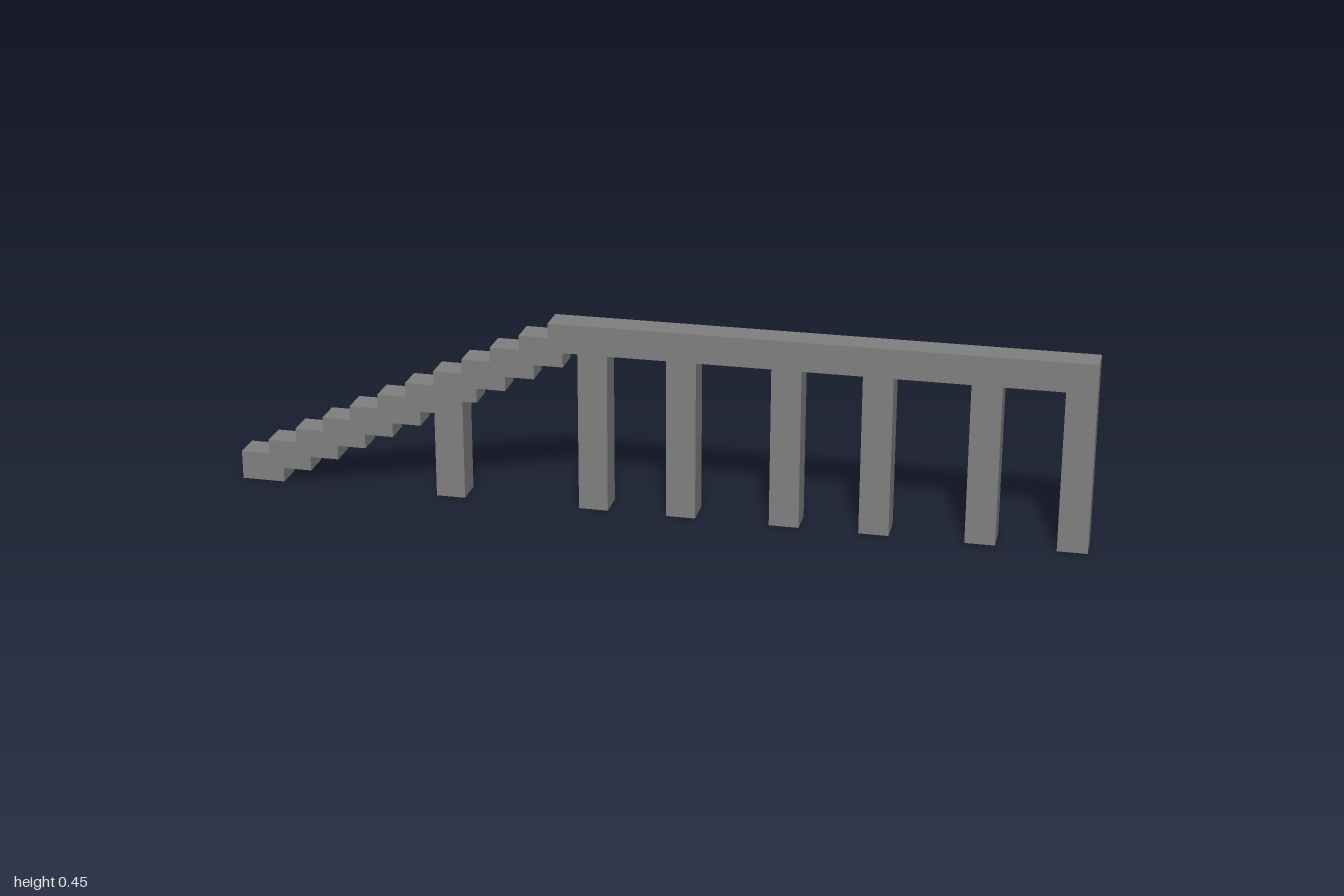
import * as THREE from 'three';

// Everything sits on a grid of 58 units along the length.
const U = 2 / 58;
const DEPTH = 2 * U;
const STEPS = 11;

export function createModel() {
  const group = new THREE.Group();
  const concrete = new THREE.MeshStandardMaterial({ color: 0x808080 });
  concrete.name = 'concreteGrey';

  const add = (name, geometry) => {
    const mesh = new THREE.Mesh(geometry, concrete);
    mesh.name = name;
    group.add(mesh);
  };

  // Box given by its grid corners in x and y
  const addBox = (name, x0, x1, y0, y1) => {
    const geometry = new THREE.BoxGeometry((x1 - x0) * U, (y1 - y0) * U, DEPTH);
    geometry.translate(((x0 + x1) / 2) * U - 1, ((y0 + y1) / 2) * U, 0);
    add(name, geometry);
  };

  // Staircase: stepped above and below, each step 3 wide and 2 high
  const outline = [];
  const corner = (x, y) => outline.push(new THREE.Vector2(x * U - 1, y * U));
  for (let i = 0; i < STEPS; i++) {
    corner(2 * i, i + 2 - (i > 0 ? 1 : 2));
    corner(2 * i, i + 2);
  }
  corner(2 * STEPS, STEPS + 1);
  corner(2 * STEPS, STEPS);
  for (let i = STEPS - 1; i >= 0; i--) {
    corner(2 * i + 3, i + 1);
    corner(2 * i + 3, i);
  }
  const stairs = new THREE.ExtrudeGeometry(new THREE.Shape(outline), { depth: DEPTH, bevelEnabled: false });
  stairs.translate(0, 0, -DEPTH / 2);
  add('staircase', stairs);

  // Level walkway
  addBox('walkway', 22, 58, 11, 13);

  // Posts under the stairs and the walkway
  addBox('stairPost', 14, 16, 0, 7);
  [24, 30, 37, 43, 50, 56].forEach((x, i) => addBox(`walkwayPost${i + 1}`, x, x + 2, 0, 11));

  return group;
}
